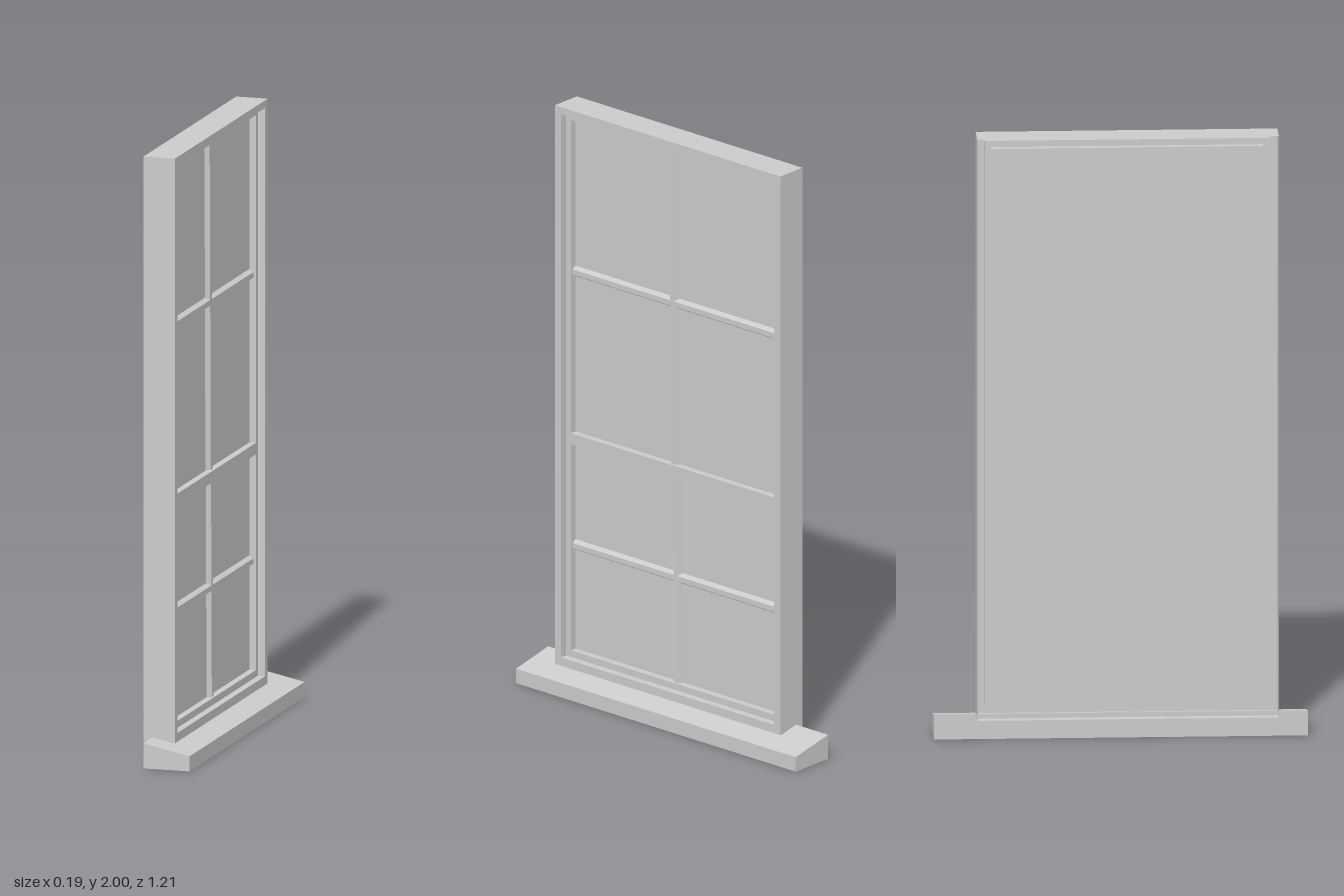
import * as THREE from 'three';

const PANE_X = -0.035;
const mat = new THREE.MeshStandardMaterial({ color: 0xcccccc, flatShading: true, side: THREE.DoubleSide });

// Rectangular loop of four corners in the plane x, counter-clockwise seen from +x
function loop(x, z0, z1, y0, y1) {
  return [[x, y0, z1], [x, y0, z0], [x, y1, z0], [x, y1, z1]];
}

// Skin of quads between successive rectangular loops
function loftLoops(loops) {
  const pos = [];
  for (let i = 0; i < loops.length - 1; i++) {
    const a = loops[i], b = loops[i + 1];
    for (let k = 0; k < 4; k++) {
      const n = (k + 1) % 4;
      for (const p of [a[k], a[n], b[n], a[k], b[n], b[k]]) pos.push(...p);
    }
  }
  const geo = new THREE.BufferGeometry();
  geo.setAttribute('position', new THREE.Float32BufferAttribute(pos, 3));
  geo.computeVertexNormals();
  return geo;
}

// Extrude an x-y profile along z, centred on z = 0
function extrudeProfile(points, length) {
  const shape = new THREE.Shape(points.map(([x, y]) => new THREE.Vector2(x, y)));
  const geo = new THREE.ExtrudeGeometry(shape, { depth: length, bevelEnabled: false });
  return geo.translate(0, 0, -length / 2);
}

// Glazing bar with bevelled flanks, base lying on the pane
function barGeometry(length) {
  return extrudeProfile([[0, -0.018], [0.015, -0.009], [0.015, 0.009], [0, 0.018]], length);
}

export function createModel() {
  const group = new THREE.Group();
  const add = (name, geo, x = 0, y = 0, z = 0) => {
    const mesh = new THREE.Mesh(geo, mat);
    mesh.name = name;
    mesh.position.set(x, y, z);
    group.add(mesh);
    return mesh;
  };

  // Frame: shell open at the back, with a stepped reveal at the front
  add('frame', loftLoops([
    loop(-0.095, -0.467, 0.509, 0.068, 2),
    loop(0.012, -0.467, 0.509, 0.068, 2),
    loop(0.012, -0.44, 0.483, 0.097, 1.975),
    loop(-0.012, -0.44, 0.483, 0.097, 1.975),
    loop(-0.012, -0.419, 0.461, 0.12, 1.954),
    loop(PANE_X, -0.419, 0.461, 0.12, 1.954),
  ]));

  // Pane
  add('pane', new THREE.PlaneGeometry(0.88, 1.834).rotateY(Math.PI / 2), PANE_X, 1.037, 0.021);

  // Meeting rail between the two sashes
  add('meetingRail', new THREE.BoxGeometry(0.023, 0.038, 0.88), PANE_X + 0.0115, 0.852, 0.021);

  // Horizontal glazing bars
  for (const y of [1.426, 0.48]) add('horizontalBar', barGeometry(0.88), PANE_X, y, 0.021);

  // Vertical glazing bars, leaning slightly
  for (const [y, z, length] of [[1.413, 0.029, 1.082], [0.476, 0.016, 0.712]]) {
    const bar = add('verticalBar', barGeometry(length).rotateX(-Math.PI / 2), PANE_X, y, z);
    bar.rotation.x = 0.0105;
  }

  // Sloping sill
  add('sill', extrudeProfile([[-0.064, 0], [0.093, 0], [0.093, 0.05], [-0.064, 0.083]], 1.21));

  return group;
}
